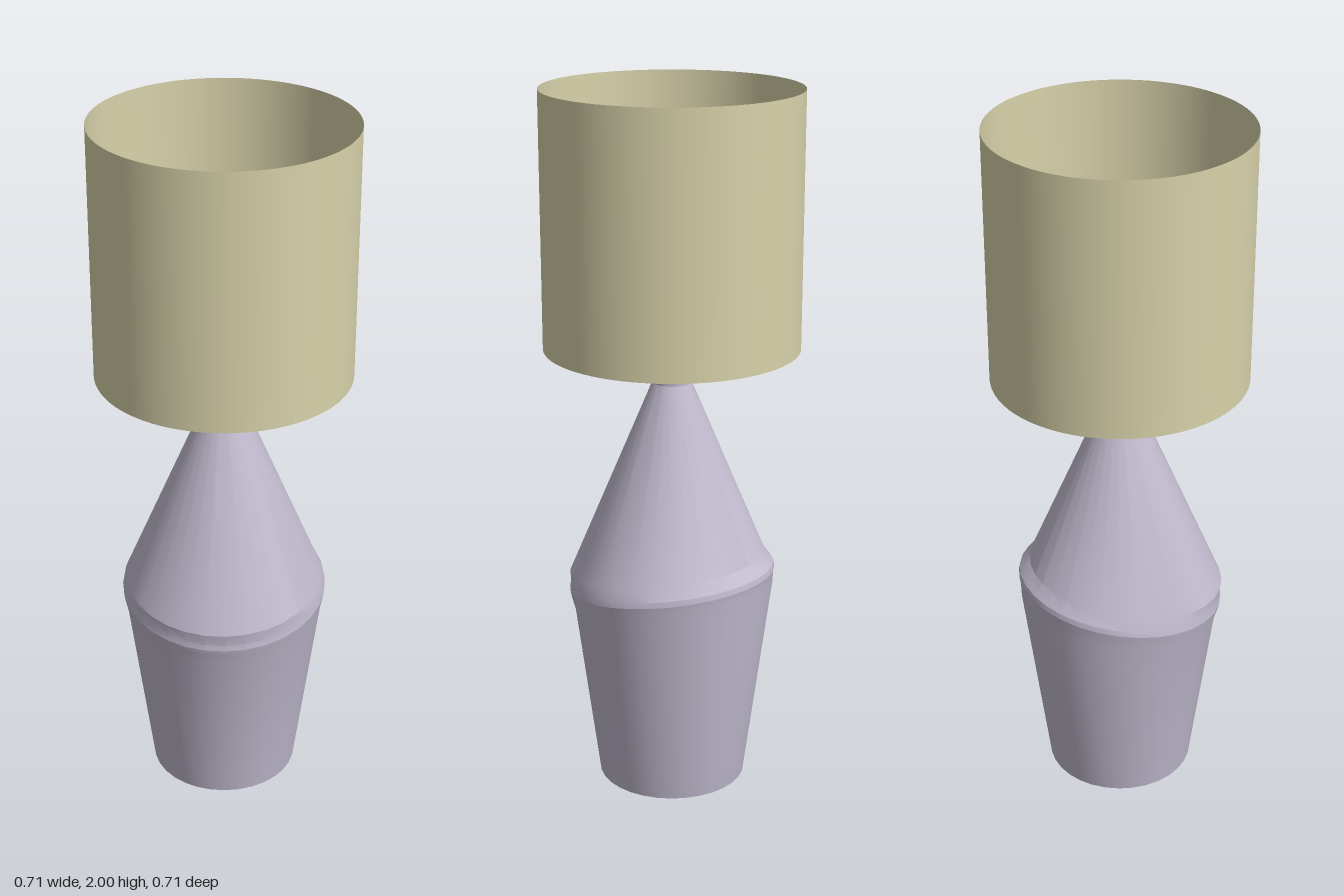
import * as THREE from 'three';
import { toCreasedNormals } from 'three/addons/utils/BufferGeometryUtils.js';

const material = (color, side = THREE.FrontSide) => new THREE.MeshStandardMaterial({ color, side });

function addPart(group, name, geometry, mat, y = 0) {
  const mesh = new THREE.Mesh(geometry, mat);
  mesh.name = name;
  mesh.position.y = y;
  group.add(mesh);
  return mesh;
}

// Turned body whose shoulder ring leans down towards the front
function bodyGeometry() {
  const profile = [
    [0.212, 0], [0.284, 0.55], [0.291, 0.59], [0.294, 0.606], [0.291, 0.622],
    [0.279, 0.655], [0.055, 1.19], [0.055, 1.375],
  ].map(([r, y]) => new THREE.Vector2(r, y));
  const sides = 32;
  const geometry = new THREE.LatheGeometry(profile, sides, Math.PI / sides);
  const pos = geometry.attributes.position;
  for (let i = 0; i < pos.count; i++) {
    const y = pos.getY(i);
    if (y > 0.5 && y < 0.7) {
      // Slide along the cone walls so the sides stay straight
      const dy = -0.15 * pos.getZ(i);
      const slope = y < 0.606 ? 0.13 : -0.42;
      const r = Math.hypot(pos.getX(i), pos.getZ(i));
      const k = Math.abs(y - 0.606) < 0.02 ? 1 : 1 + (slope * dy) / r;
      pos.setXYZ(i, pos.getX(i) * k, y + dy, pos.getZ(i) * k);
    }
  }
  return toCreasedNormals(geometry, 0.35);
}

export function createModel() {
  const lamp = new THREE.Group();
  lamp.name = 'tableLamp';

  addPart(lamp, 'body', bodyGeometry(), material(0xc0bacd));

  // Felt disc closing the underside
  const foot = new THREE.CircleGeometry(0.212, 32, Math.PI / 32).rotateX(Math.PI / 2);
  addPart(lamp, 'footPad', foot, material(0x6a6450));

  addPart(lamp, 'bulb', new THREE.SphereGeometry(0.131, 48, 32), material(0xcdd2b6), 1.485);

  // Thin drum shade, open at both ends
  const shade = new THREE.CylinderGeometry(0.356, 0.356, 0.71, 96, 1, true);
  addPart(lamp, 'shade', shade, material(0xd8d2aa, THREE.DoubleSide), 1.645);

  return lamp;
}
